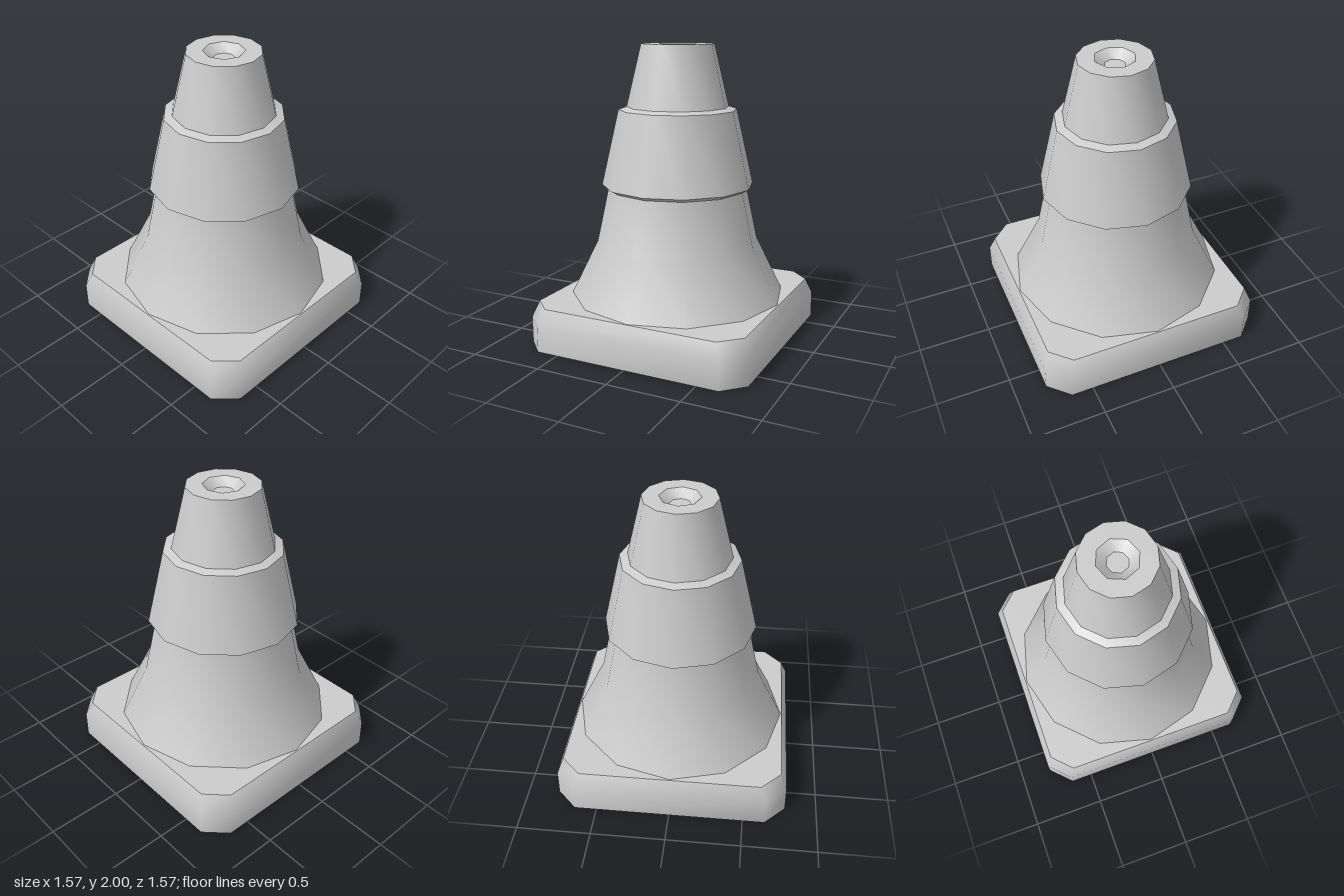
import * as THREE from 'three';
import { toCreasedNormals } from 'three/addons/utils/BufferGeometryUtils.js';

const material = new THREE.MeshStandardMaterial({ color: 0xcccccc });
const shellMaterial = new THREE.MeshStandardMaterial({ color: 0xcccccc, side: THREE.DoubleSide });

function part(name, geometry, mat = material) {
  const mesh = new THREE.Mesh(geometry, mat);
  mesh.name = name;
  return mesh;
}

// Revolved profile of [radius, y] points with creased edges
function revolve(profile, sides, crease) {
  const points = profile.map(([r, y]) => new THREE.Vector2(r, y));
  return toCreasedNormals(new THREE.LatheGeometry(points, sides), crease);
}

// Square with cut corners at height y, counter-clockwise seen from above
function cutSquare(half, cut, y) {
  return [
    [half, cut], [half, -cut], [cut, -half], [-cut, -half],
    [-half, -cut], [-half, cut], [-cut, half], [cut, half],
  ].map(([x, z]) => [x, y, z]);
}

// Hollow base: wall, bevel and flat lid, open underneath
function baseGeometry() {
  const rings = [cutSquare(0.787, 0.65, 0), cutSquare(0.787, 0.65, 0.18), cutSquare(0.745, 0.612, 0.29)];
  const positions = [];
  const n = 8;
  for (let i = 0; i < n; i++) {
    const j = (i + 1) % n;
    for (let k = 0; k < rings.length - 1; k++) {
      const a = rings[k][i], b = rings[k][j], c = rings[k + 1][j], d = rings[k + 1][i];
      positions.push(...a, ...b, ...c, ...a, ...c, ...d);
    }
    positions.push(0, 0.29, 0, ...rings[2][i], ...rings[2][j]);
  }
  const geometry = new THREE.BufferGeometry();
  geometry.setAttribute('position', new THREE.Float32BufferAttribute(positions, 3));
  return toCreasedNormals(geometry, 0.9);
}

function polygon(radius, sides) {
  return Array.from({ length: sides }, (_, i) => {
    const a = (i / sides) * Math.PI * 2;
    return new THREE.Vector2(radius * Math.cos(a), radius * Math.sin(a));
  });
}

export function createModel() {
  const model = new THREE.Group();
  model.name = 'trafficCone';

  model.add(part('base', baseGeometry(), shellMaterial));

  // Flared body with the raised band in one profile
  model.add(part('coneBody', revolve([
    [0.737, 0.29], [0.555, 0.66], [0.475, 1.03],
    [0.518, 1.055], [0.4, 1.567], [0.345, 1.585],
    [0.245, 2],
  ], 12, 0.9)));

  // Flat rim around the tip opening
  const rim = new THREE.Shape(polygon(0.245, 12));
  rim.holes.push(new THREE.Path(polygon(0.135, 8)));
  model.add(part('topRim', new THREE.ShapeGeometry(rim).rotateX(-Math.PI / 2).translate(0, 2, 0)));

  // Shallow recess in the tip
  model.add(part('topRecess', revolve([[0.135, 2], [0.07, 1.95], [0, 1.95]], 8, 0.6)));

  return model;
}
